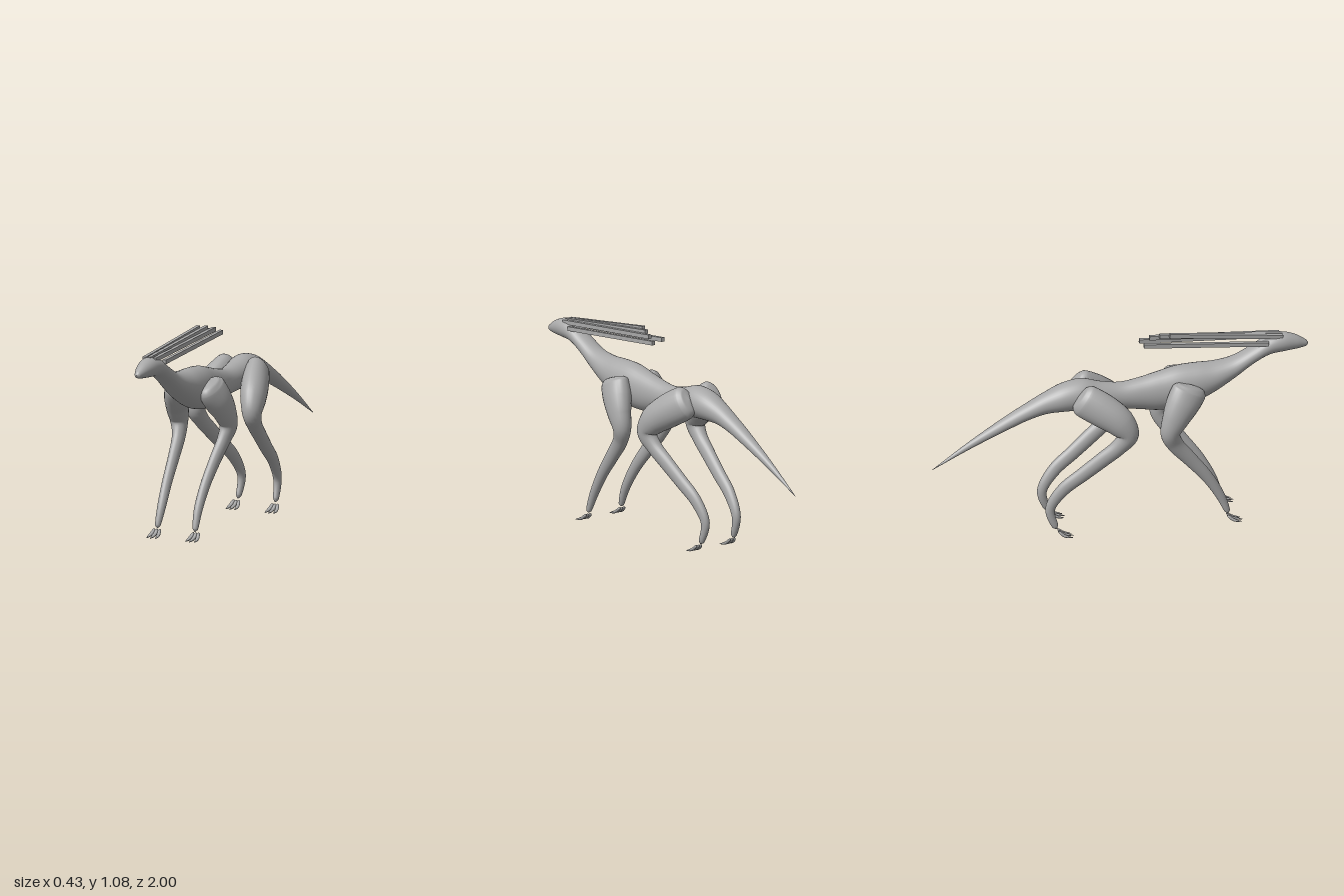
import * as THREE from 'three';

const grey = new THREE.MeshStandardMaterial({ color: 0xa8a8a8 });
grey.name = 'plain grey';

// Smooth skin over elliptical sections: knots are [x, y, z, sideRadius, otherRadius]
function loft(name, knots, steps, sides, upright = false) {
  const path = new THREE.CatmullRomCurve3(knots.map(k => new THREE.Vector3(k[0], k[1], k[2])));
  const sizes = new THREE.CatmullRomCurve3(knots.map((k, i) => new THREE.Vector3(k[3], k[4], i * 0.05)));
  const pos = [], index = [];
  for (let i = 0; i <= steps; i++) {
    const t = i / steps;
    const c = path.getPoint(t), r = sizes.getPoint(t);
    const T = upright ? new THREE.Vector3(0, 0, -1) : path.getTangent(t);
    const S = new THREE.Vector3(1, 0, 0).addScaledVector(T, -T.x).normalize();
    const U = new THREE.Vector3().crossVectors(T, S);
    for (let j = 0; j < sides; j++) {
      const a = (j / sides) * Math.PI * 2;
      const p = c.clone()
        .addScaledVector(S, Math.cos(a) * Math.max(r.x, 0.0005))
        .addScaledVector(U, Math.sin(a) * Math.max(r.y, 0.0005));
      pos.push(p.x, p.y, p.z);
      if (i < steps) {
        const k = (j + 1) % sides, a0 = i * sides, b0 = a0 + sides;
        index.push(a0 + j, a0 + k, b0 + j, a0 + k, b0 + k, b0 + j);
      }
    }
  }
  const geo = new THREE.BufferGeometry();
  geo.setAttribute('position', new THREE.Float32BufferAttribute(pos, 3));
  geo.setIndex(index);
  geo.computeVertexNormals();
  const mesh = new THREE.Mesh(geo, grey);
  mesh.name = name;
  return mesh;
}

// Head, neck, trunk and tail: [z, top, bottom, halfWidth]
const BODY = [
  [1.0, 0.941, 0.939, 0.001], [0.99, 0.957, 0.925, 0.016], [0.94, 0.99, 0.916, 0.036],
  [0.87, 1.012, 0.91, 0.052], [0.79, 1.0, 0.9, 0.058], [0.7, 0.948, 0.853, 0.058],
  [0.6, 0.898, 0.782, 0.066], [0.5, 0.88, 0.718, 0.08], [0.4, 0.88, 0.668, 0.088],
  [0.3, 0.874, 0.643, 0.086], [0.2, 0.85, 0.637, 0.076], [0.1, 0.825, 0.652, 0.066],
  [0.0, 0.81, 0.667, 0.062], [-0.1, 0.824, 0.675, 0.07], [-0.2, 0.85, 0.679, 0.08],
  [-0.3, 0.835, 0.681, 0.076], [-0.4, 0.79, 0.675, 0.058], [-0.5, 0.735, 0.645, 0.046],
  [-0.6, 0.677, 0.602, 0.037], [-0.8, 0.549, 0.507, 0.018], [-1.0, 0.405, 0.403, 0.001],
];

// Limbs on the left side, from the rounded top to the ankle
const FRONT_LEG = [
  [0.095, 0.808, 0.362, 0.001, 0.001], [0.097, 0.797, 0.358, 0.042, 0.07],
  [0.1, 0.773, 0.347, 0.058, 0.094], [0.117, 0.71, 0.308, 0.066, 0.09],
  [0.137, 0.64, 0.268, 0.057, 0.073], [0.144, 0.56, 0.238, 0.046, 0.052],
  [0.132, 0.49, 0.265, 0.034, 0.044], [0.12, 0.39, 0.345, 0.028, 0.038],
  [0.111, 0.27, 0.44, 0.025, 0.031], [0.107, 0.15, 0.511, 0.022, 0.024],
  [0.11, 0.06, 0.547, 0.014, 0.015], [0.11, 0.046, 0.552, 0.001, 0.001],
];
const HIND_LEG = [
  [0.084, 0.795, -0.238, 0.001, 0.001], [0.085, 0.789, -0.23, 0.038, 0.066],
  [0.09, 0.772, -0.205, 0.058, 0.09], [0.12, 0.715, -0.11, 0.07, 0.09],
  [0.15, 0.655, -0.03, 0.066, 0.078], [0.164, 0.585, 0.009, 0.05, 0.056],
  [0.156, 0.52, -0.035, 0.038, 0.044], [0.143, 0.445, -0.122, 0.032, 0.042],
  [0.128, 0.36, -0.225, 0.029, 0.039], [0.115, 0.275, -0.327, 0.026, 0.035],
  [0.105, 0.165, -0.393, 0.021, 0.026], [0.109, 0.065, -0.367, 0.014, 0.017],
  [0.11, 0.048, -0.357, 0.001, 0.001],
];

// Three clawed toes spread from the ankle
function foot(name, side, z) {
  const g = new THREE.Group();
  g.name = name;
  for (const s of [-1, 0, 1]) {
    const x = side * 0.114 + s * 0.014, reach = s === 0 ? 0.008 : 0;
    g.add(loft('toe', [
      [x, 0.042, z, 0.001, 0.001], [x + s * 0.002, 0.036, z + 0.006, 0.008, 0.007],
      [x + s * 0.007, 0.018, z + 0.026, 0.01, 0.008],
      [x + s * 0.01, 0.009, z + 0.048 + reach, 0.008, 0.006],
      [x + s * 0.011, 0.003, z + 0.075 + reach, 0.001, 0.001],
    ], 14, 8));
  }
  return g;
}

// Straight crest strand between two points
function strand(from, to) {
  const a = new THREE.Vector3(...from), b = new THREE.Vector3(...to);
  const mesh = new THREE.Mesh(new THREE.BoxGeometry(0.02, 0.022, a.distanceTo(b)), grey);
  mesh.position.copy(a).lerp(b, 0.5);
  mesh.lookAt(b);
  mesh.name = 'crestStrand';
  return mesh;
}

export function createModel() {
  const model = new THREE.Group();
  model.name = 'creature';

  model.add(loft('body', BODY.map(([z, top, bottom, w]) =>
    [0, (top + bottom) / 2, z, w, (top - bottom) / 2]), 120, 32, true));

  for (const side of [1, -1]) {
    const label = side > 0 ? 'left' : 'right';
    const flip = knots => knots.map(([x, ...rest]) => [x * side, ...rest]);
    model.add(
      loft(label + 'FrontLeg', flip(FRONT_LEG), 66, 24),
      loft(label + 'HindLeg', flip(HIND_LEG), 72, 24),
      foot(label + 'FrontFoot', side, 0.544),
      foot(label + 'HindFoot', side, -0.353),
    );
  }

  // Swept-back crest
  const crest = new THREE.Group();
  crest.name = 'crest';
  crest.add(
    strand([-0.05, 0.98, 0.78], [-0.035, 1.03, 0.12]),
    strand([-0.026, 1.003, 0.86], [-0.02, 1.068, 0.26]),
    strand([0, 1.004, 0.86], [0, 1.06, 0.21]),
    strand([0.026, 1.0, 0.85], [0.02, 1.046, 0.16]),
    strand([0.05, 0.98, 0.78], [0.037, 1.024, 0.11]),
  );
  model.add(crest);
  return model;
}
